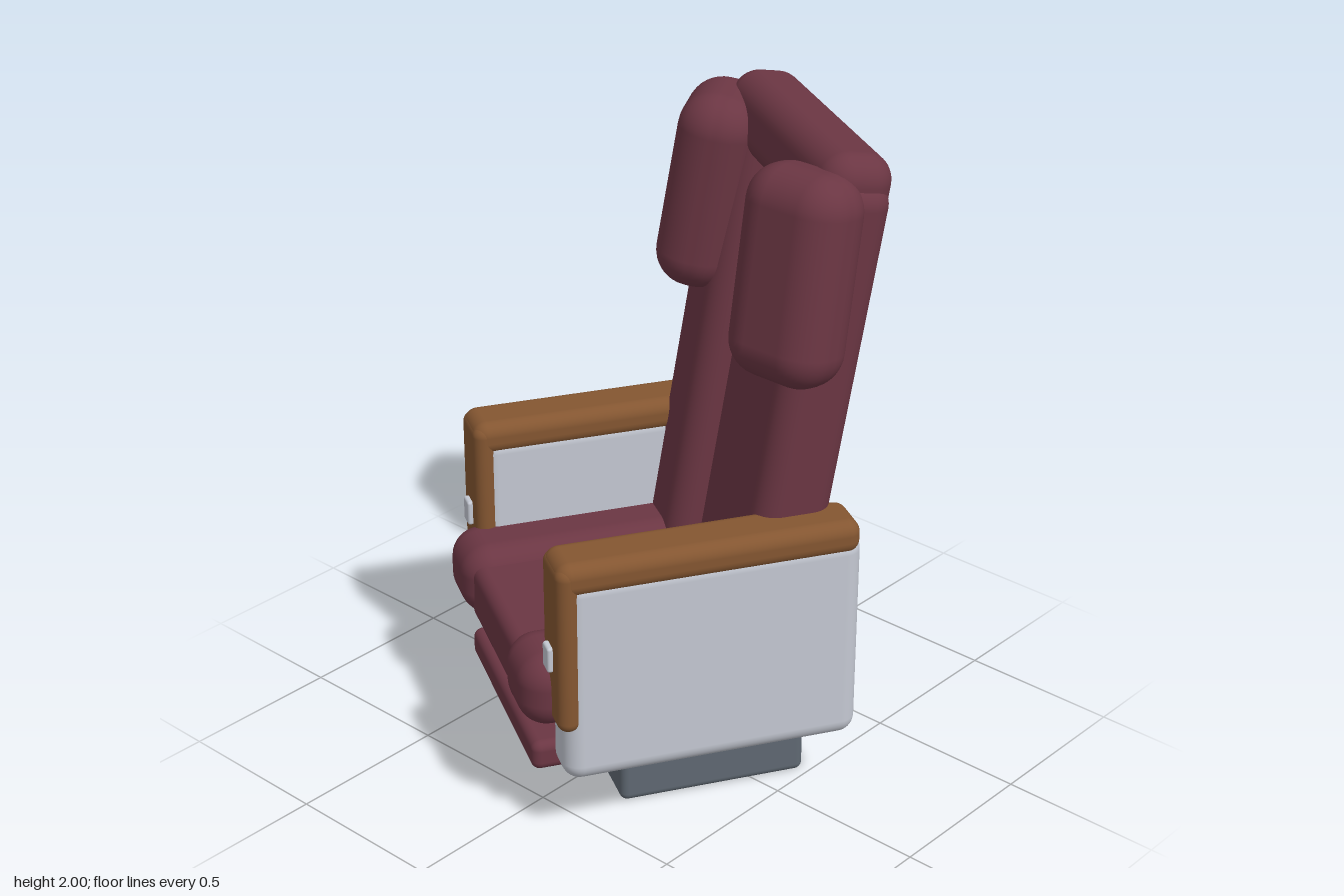
import * as THREE from 'three';
import { RoundedBoxGeometry } from 'three/addons/geometries/RoundedBoxGeometry.js';

const material = (name, color) => {
  const m = new THREE.MeshStandardMaterial({ color });
  m.name = name;
  return m;
};

export function createModel() {
  const leather = material('burgundy leather', 0x6b3643);
  const wood = material('brown wood', 0x845631);
  const shell = material('light grey shell', 0xc4c8d2);
  const slate = material('slate base', 0x5f6872);

  // Rounded block given by its min and max on each axis
  const block = (parent, name, mat, [x0, x1], [y0, y1], [z0, z1], radius) => {
    const geo = new RoundedBoxGeometry(x1 - x0, y1 - y0, z1 - z0, 5, radius);
    const mesh = new THREE.Mesh(geo, mat);
    mesh.name = name;
    mesh.position.set((x0 + x1) / 2, (y0 + y1) / 2, (z0 + z1) / 2);
    parent.add(mesh);
    return mesh;
  };
  // The same span on the left (+1) or right (-1) side
  const span = (side, a, b) => (side > 0 ? [a, b] : [-b, -a]);

  const model = new THREE.Group();
  model.name = 'cabinSeat';
  const chair = new THREE.Group();
  chair.name = 'chair';
  chair.rotation.y = -Math.PI / 6;
  chair.position.set(0.008, 0, 0.004);
  model.add(chair);

  // Base, footrest and seat cushion
  block(chair, 'base', slate, [-0.342, 0.342], [0, 0.4], [-0.362, 0.217], 0.025);
  block(chair, 'footrest', leather, [-0.352, 0.358], [0.175, 0.27], [0.27, 0.492], 0.028);
  block(chair, 'seatCushion', leather, [-0.27, 0.27], [0.365, 0.555], [-0.39, 0.512], 0.04);

  // Reclined back: y runs up the back, z = 0 is its rear face
  const lean = THREE.MathUtils.degToRad(9.3);
  const back = new THREE.Group();
  back.name = 'backrest';
  back.position.set(0, 0.4, -0.32);
  back.rotation.x = -lean;
  chair.add(back);
  block(back, 'backCushion', leather, [-0.25, 0.25], [0.08, 1.5], [0.03, 0.148], 0.03);
  block(back, 'rearPanel', leather, [-0.305, 0.305], [0.13, 1.5], [0, 0.09], 0.025);
  block(back, 'headRoll', leather, [-0.42, 0.42], [1.37, 1.6], [0.003, 0.218], 0.08);

  for (const side of [1, -1]) {
    // Side bolsters of seat and back
    block(chair, 'seatBolster', leather, span(side, 0.195, 0.46), [0.365, 0.598], [-0.405, 0.54], 0.09);
    block(back, 'backBolster', leather, span(side, 0.177, 0.44), [0.06, 1.53], [0.01, 0.24], 0.07);

    // Head wing, turned outward and leaning back and inward
    const wing = block(chair, 'headWing', leather, [-0.17, 0.17], [-0.308, 0.308], [-0.12, 0.12], 0.11);
    wing.position.set(side * 0.36, 1.662, -0.288);
    wing.rotation.set(-lean, side * Math.PI / 6, 0, 'YXZ');

    // Armrest: side panel, wooden top and front post, small latch
    const arm = new THREE.Group();
    arm.name = side > 0 ? 'leftArmrest' : 'rightArmrest';
    chair.add(arm);
    block(arm, 'sidePanel', shell, span(side, 0.373, 0.534), [0.23, 0.9], [-0.457, 0.44], 0.055);
    block(arm, 'armTop', wood, span(side, 0.367, 0.54), [0.845, 0.95], [-0.448, 0.457], 0.042);
    block(arm, 'armFrontPost', wood, span(side, 0.367, 0.54), [0.405, 0.94], [0.39, 0.459], 0.034);
    block(arm, 'latch', shell, span(side, 0.425, 0.48), [0.587, 0.667], [0.43, 0.475], 0.008);
  }
  return model;
}
